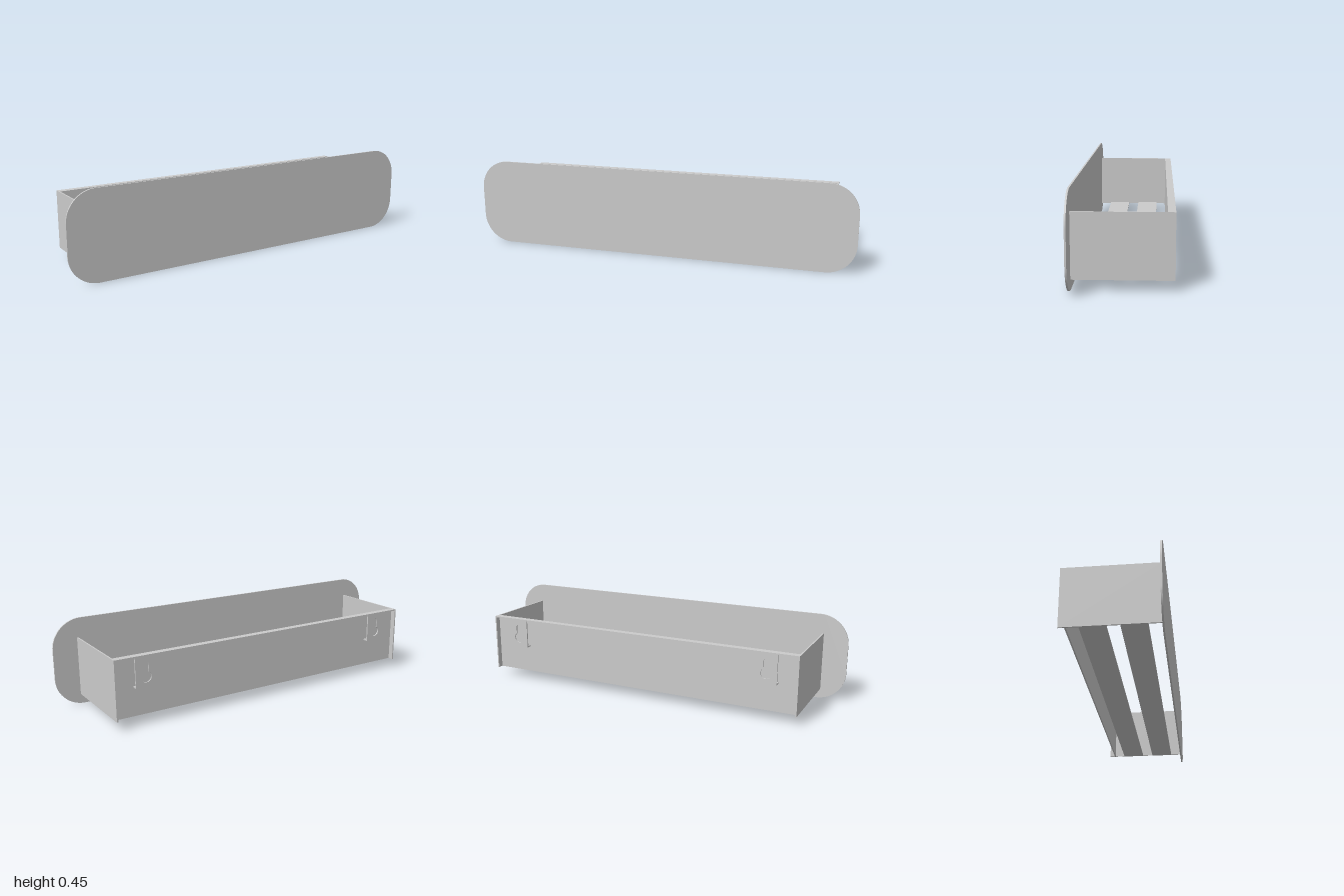
import * as THREE from 'three';
import { toCreasedNormals } from 'three/addons/utils/BufferGeometryUtils.js';

const SHEET = 0.007; // sheet thickness
const BOTTOM = 0.05, TOP = 0.35; // tray height range
const BACK = -0.23, FRONT = 0.222; // tray depth range
const HALF = 0.873; // half width over the side walls

export function createModel() {
  const group = new THREE.Group();
  const material = new THREE.MeshStandardMaterial({ color: 0xcccccc });

  const add = (name, geometry, x = 0, y = 0, z = 0) => {
    const mesh = new THREE.Mesh(geometry, material);
    mesh.name = name;
    mesh.position.set(x, y, z);
    group.add(mesh);
  };
  // Box given by its minimum and maximum on each axis
  const box = (name, x0, x1, y0, y1, z0, z1) =>
    add(name, new THREE.BoxGeometry(x1 - x0, y1 - y0, z1 - z0),
      (x0 + x1) / 2, (y0 + y1) / 2, (z0 + z1) / 2);
  const plate = (shape, depth) => toCreasedNormals(
    new THREE.ExtrudeGeometry(shape, { depth, bevelEnabled: false, curveSegments: 16 }), 0.6);

  // Front panel with rounded corners
  const w = 1, h = 0.45, r = 0.15;
  const face = new THREE.Shape();
  face.moveTo(-w + r, 0);
  face.lineTo(w - r, 0);
  face.absarc(w - r, r, r, -Math.PI / 2, 0);
  face.absarc(w - r, h - r, r, 0, Math.PI / 2);
  face.absarc(-w + r, h - r, r, Math.PI / 2, Math.PI);
  face.absarc(-w + r, r, r, Math.PI, Math.PI * 1.5);
  add('frontPanel', plate(face, 0.23 - FRONT), 0, 0, FRONT);

  // Recessed back wall and the flange folded back from its top
  const inner = HALF - SHEET;
  const wallFront = -0.195, wallBack = wallFront - SHEET;
  box('backWall', -inner, inner, BOTTOM, TOP - SHEET, wallBack, wallFront);
  box('topFlange', -inner, inner, TOP - SHEET, TOP, BACK, wallFront);

  // Floor slats
  for (const z of [-0.14, 0.04])
    box('floorSlat', -inner, inner, BOTTOM, BOTTOM + SHEET, z, z + 0.12);

  // Hanging tab with a keyhole: round opening below, narrow slot above
  const tabW = 0.11, tabH = 0.15;
  const tab = new THREE.Shape();
  tab.moveTo(-tabW / 2, -tabH);
  tab.lineTo(tabW / 2, -tabH);
  tab.lineTo(tabW / 2, 0);
  tab.lineTo(-tabW / 2, 0);
  tab.closePath();
  const big = 0.027, small = 0.014, a = Math.acos(small / big);
  const hole = new THREE.Path();
  hole.absarc(0, -0.1, big, Math.PI - a, Math.PI * 2 + a);
  hole.absarc(0, -0.04, small, 0, Math.PI);
  hole.closePath();
  tab.holes.push(hole);
  const tabGeometry = plate(tab, SHEET);

  for (const side of [1, -1]) {
    // Side wall
    const x = side * (HALF - SHEET / 2);
    box('sideWall', x - SHEET / 2, x + SHEET / 2, BOTTOM, TOP, BACK, FRONT);
    // Tab and the lip returning from its foot to the back wall
    const tx = side * 0.715, foot = TOP - SHEET - tabH;
    add('hangingTab', tabGeometry, tx, TOP - SHEET, BACK);
    box('tabLip', tx - tabW / 2, tx + tabW / 2, foot, foot + SHEET, BACK + SHEET, wallBack);
  }
  return group;
}
